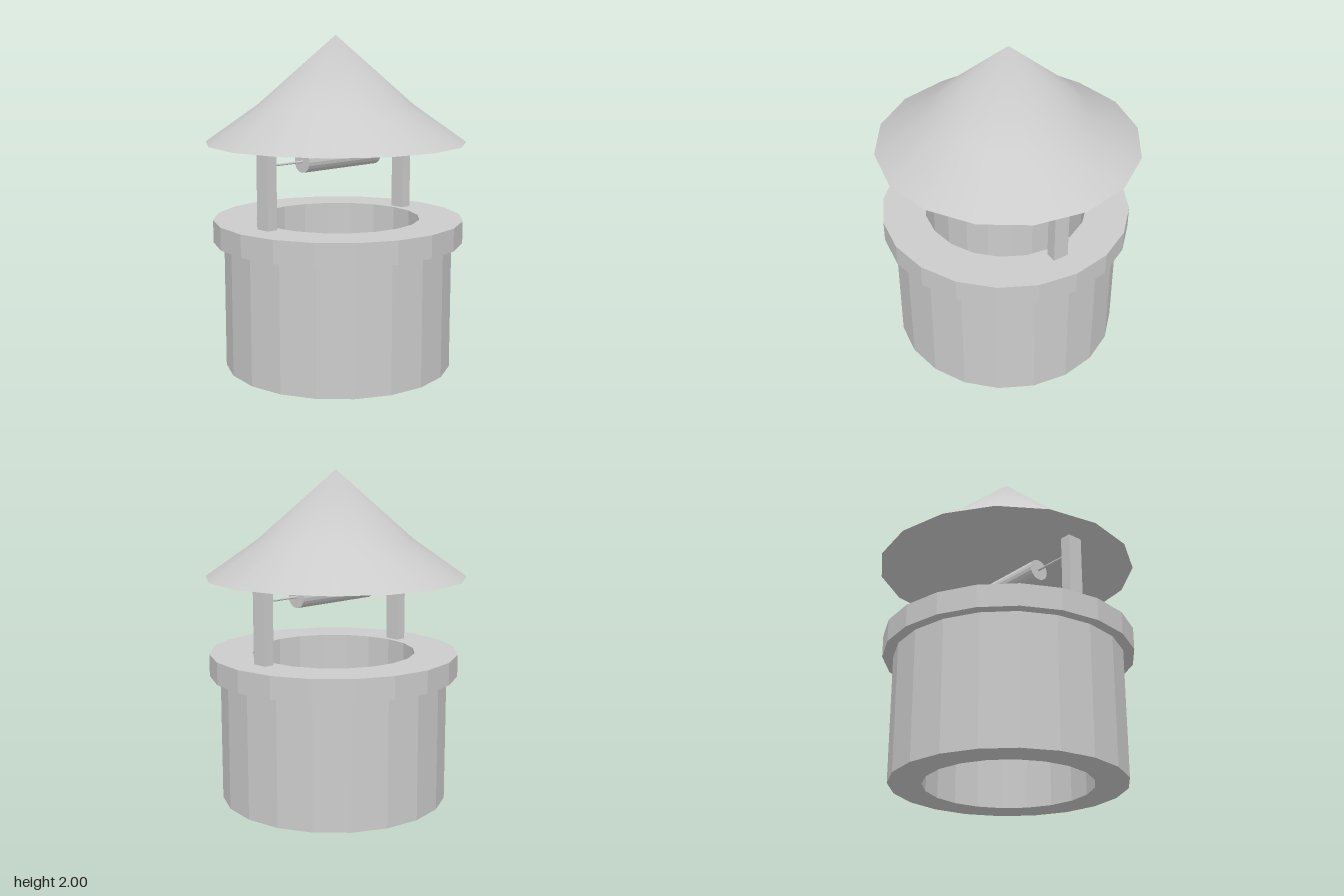
import * as THREE from 'three';
import { mergeVertices } from 'three/addons/utils/BufferGeometryUtils.js';

const AXIS_X = 0.02; // masonry and posts sit slightly off the roof axis

export function createModel() {
  const group = new THREE.Group();
  const flat = new THREE.MeshStandardMaterial({ color: 0xcccccc, flatShading: true });
  const smooth = new THREE.MeshStandardMaterial({ color: 0xcccccc });

  const add = (name, geometry, material, x = 0, y = 0, z = 0) => {
    const mesh = new THREE.Mesh(geometry, material);
    mesh.name = name;
    mesh.position.set(x, y, z);
    group.add(mesh);
    return mesh;
  };
  const lathe = (profile, sides) =>
    new THREE.LatheGeometry(profile.map(([r, y]) => new THREE.Vector2(r, y)), sides);

  // Hollow shaft and the overhanging rim, both 20-sided
  add('wellWall', lathe([[0.495, 0.77], [0.495, 0], [0.69, 0], [0.69, 0.77]], 20), flat, AXIS_X);
  add('wellRim', lathe([[0.69, 0.77], [0.755, 0.77], [0.755, 0.905], [0.495, 0.905], [0.495, 0.77]], 20), flat, AXIS_X);

  // Posts at front and back
  for (const [name, side] of [['frontPost', 1], ['backPost', -1]]) {
    add(name, new THREE.BoxGeometry(0.095, 0.46, 0.068), flat, AXIS_X, 1.135, side * 0.561);
  }

  // Winding drum on a thin axle
  add('axle', new THREE.CylinderGeometry(0.007, 0.007, 1.06, 8), flat, 0.015, 1.27, 0).rotation.x = Math.PI / 2;
  add('windingDrum', new THREE.CylinderGeometry(0.065, 0.065, 0.595, 20), flat, 0.015, 1.27, -0.012).rotation.x = Math.PI / 2;

  // Flared 16-sided roof, smooth right over the tip
  const cone = lathe([[0.785, 1.365], [0.465, 1.59], [0, 2]], 16);
  cone.deleteAttribute('uv');
  cone.deleteAttribute('normal');
  const roof = mergeVertices(cone, 1e-4);
  roof.computeVertexNormals();
  add('roof', roof, smooth);

  // Flat underside of the roof
  add('roofUnderside', new THREE.CircleGeometry(0.785, 16), flat, 0, 1.365, 0).rotation.x = Math.PI / 2;

  return group;
}
